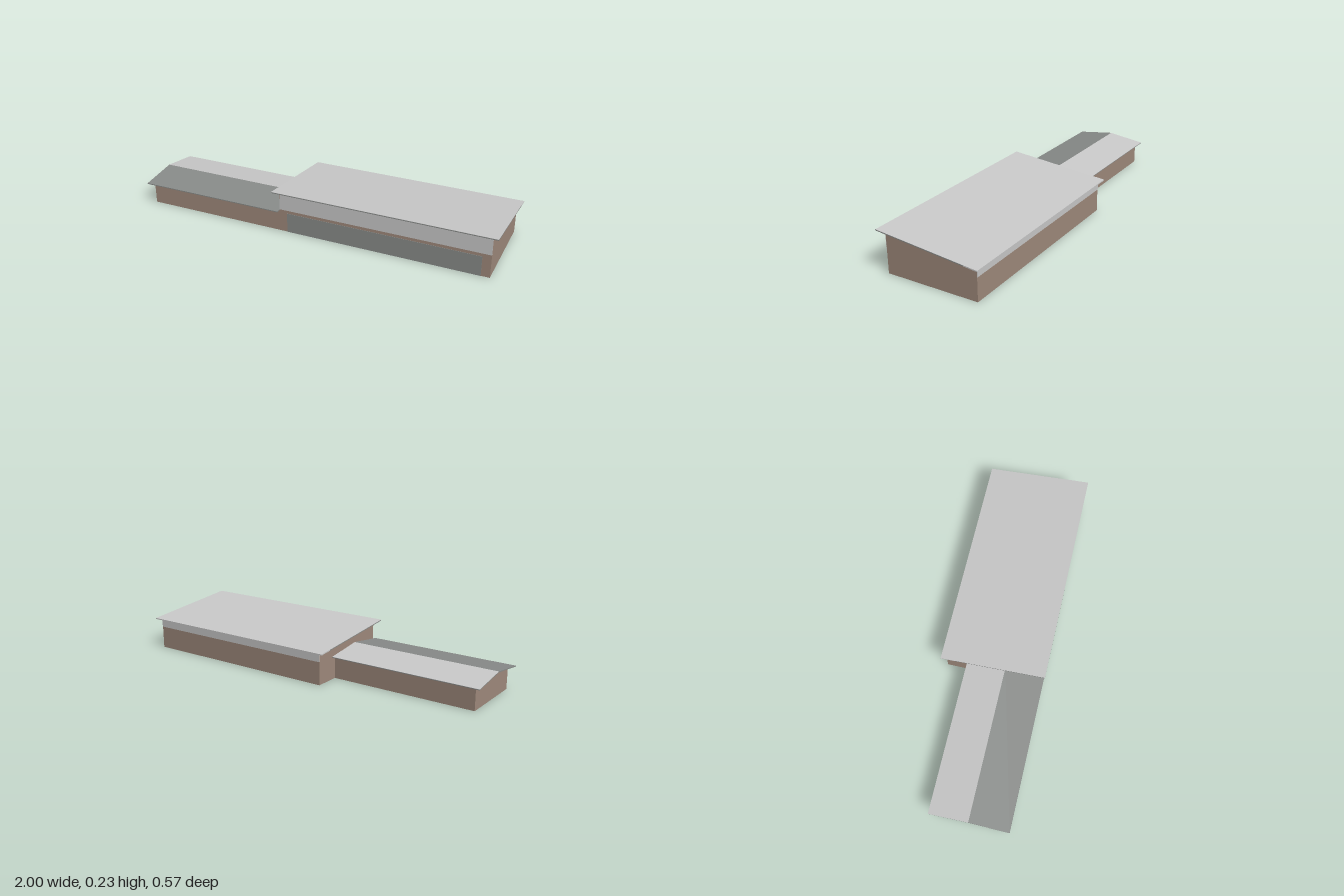
import * as THREE from 'three';

const material = (name, color) => {
  const m = new THREE.MeshStandardMaterial({ color });
  m.name = name;
  return m;
};

export function createModel() {
  const group = new THREE.Group();
  const brown = material('wallBrown', 0x9f8a7c);
  const light = material('lightGrey', 0xcacaca);
  const grey = material('darkGrey', 0x898c8a);

  // Extrudes a (z, y) cross-section along x from x0 to x1
  const prism = (name, points, x0, x1, mat) => {
    const shape = new THREE.Shape(points.map(([z, y]) => new THREE.Vector2(z, y)));
    const geo = new THREE.ExtrudeGeometry(shape, { depth: x1 - x0, bevelEnabled: false });
    geo.rotateY(-Math.PI / 2).translate(x1, 0, 0);
    const mesh = new THREE.Mesh(geo, mat);
    mesh.name = name;
    group.add(mesh);
  };

  // Sloping slab whose underside follows height(z) + lift
  const slab = (name, height, z0, z1, lift, thick, x0, x1, mat) => {
    const a = height(z0) + lift, b = height(z1) + lift;
    prism(name, [[z0, a], [z1, b], [z1, b + thick], [z0, a + thick]], x0, x1, mat);
  };

  const front = 0.25, back = -0.26, wingBack = -0.12, ridge = 0.065;
  const mainHeight = z => 0.1995 + 0.1 * z;
  const wingHeight = z => 0.147 - 0.135 * Math.abs(z - ridge);

  // Main hall with a single-pitch roof
  prism('mainWalls', [[back, 0], [front, 0], [front, mainHeight(front)], [back, mainHeight(back)]],
    -0.17, 0.97, brown);
  slab('mainRoof', mainHeight, -0.21, 0.283, 0, 0.0045, -0.2, 1, grey);
  slab('mainRoofRear', mainHeight, -0.283, -0.21, 0, 0.0045, -0.2, 1, light);
  slab('mainRoofCovering', mainHeight, -0.283, 0.283, 0.0045, 0.0015, -0.2, 1, light);

  // Low wing with a gable roof
  prism('wingWalls', [[wingBack, 0], [front, 0], [front, wingHeight(front)],
    [ridge, wingHeight(ridge)], [wingBack, wingHeight(wingBack)]], -0.97, -0.17, brown);
  slab('wingRoofFront', wingHeight, ridge, 0.278, 0, 0.005, -1, -0.168, grey);
  slab('wingRoofBack', wingHeight, -0.146, ridge, 0, 0.0035, -1, -0.168, grey);
  slab('wingRoofBackCovering', wingHeight, -0.146, ridge, 0.0035, 0.0015, -1, -0.168, light);

  // Painted wall plates, 0.002 proud of the walls
  const plate = (name, x0, x1, y0, y1, z, mat) => {
    const mesh = new THREE.Mesh(new THREE.BoxGeometry(x1 - x0, y1 - y0, 0.002), mat);
    mesh.position.set((x0 + x1) / 2, (y0 + y1) / 2, z);
    mesh.name = name;
    group.add(mesh);
  };
  plate('frontWindowBand', -0.168, 0.97, 0.125, mainHeight(front), front + 0.001, light);
  plate('backWindowBand', -0.17, 0.97, 0.125, mainHeight(back), back - 0.001, light);
  plate('frontLowerPanel', -0.125, 0.925, 0, 0.108, front + 0.001, grey);

  return group;
}
